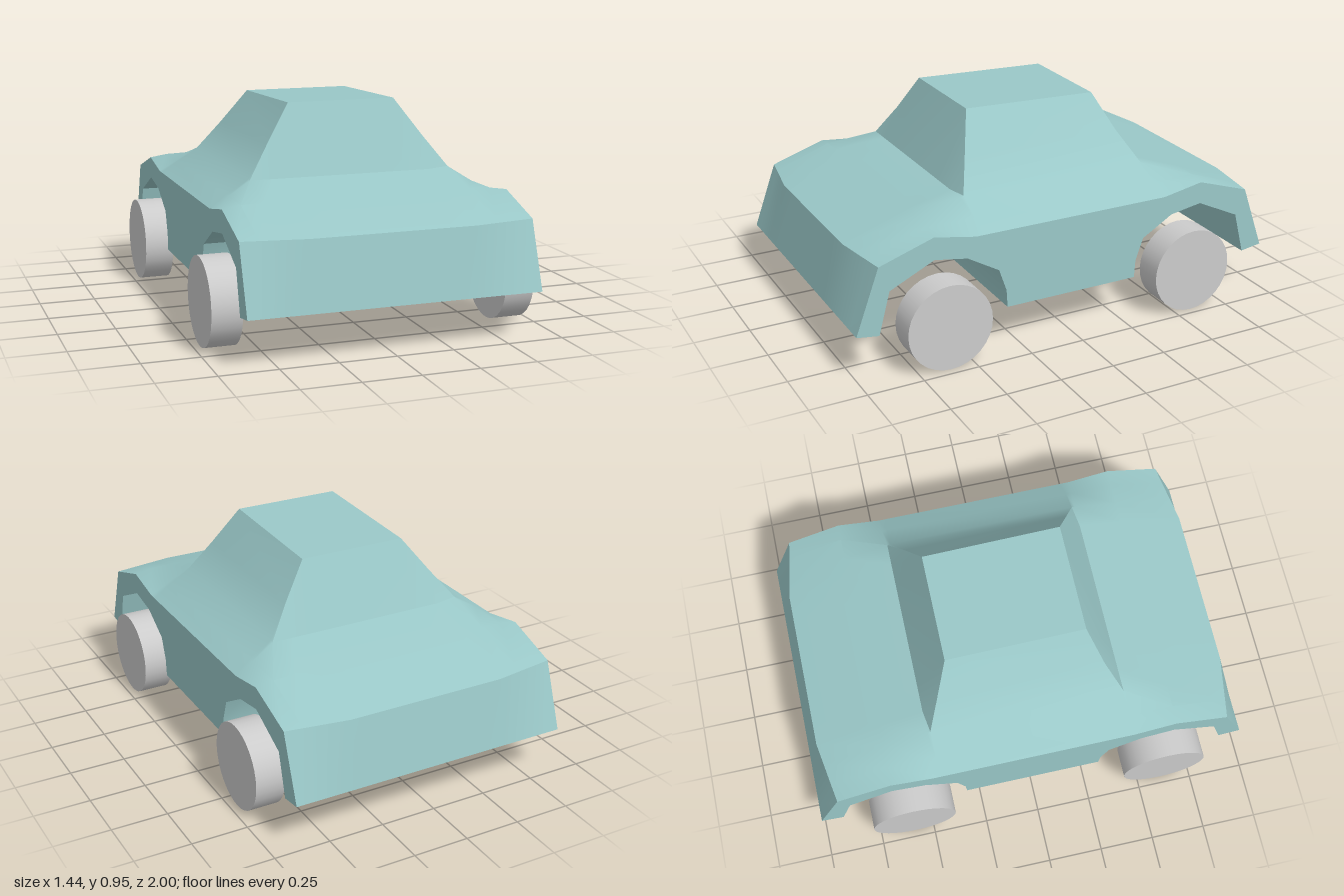
import * as THREE from 'three';
import { toCreasedNormals } from 'three/addons/utils/BufferGeometryUtils.js';

const BODY_X = 0.01; // body centre line

// Half columns from roof edge to flank: x offset, then [z, y] from bumper to roof
const columns = [
  { x: 0.245, top: [[1, 0.21], [0.94, 0.5], [0.65, 0.595], [0.445, 0.65], [0.31, 0.955]] },
  { x: 0.36, top: [[1, 0.21], [0.94, 0.5], [0.65, 0.595], [0.445, 0.65], [0.374, 0.79]] },
  { x: 0.46, top: [[1, 0.21], [0.924, 0.5], [0.65, 0.595], [0.445, 0.65], [0.43, 0.655]] },
  { x: 0.56, top: [[1, 0.21], [0.908, 0.5], [0.65, 0.592], [0.455, 0.59], [0.43, 0.593]] },
  { x: 0.64, top: [[1, 0.21], [0.895, 0.5], [0.65, 0.58], [0.46, 0.545], [0.42, 0.545]] },
];

// Underside with the wheel arch, from sill to bumper
const arch = [[0.315, 0.19], [0.32, 0.27], [0.355, 0.37], [0.5, 0.455], [0.65, 0.48], [0.85, 0.385], [0.9, 0.195]];

// Closed side outline of one column: front, over the roof, back, underneath
function ring(top) {
  const back = top.map(([z, y]) => [-z, y > 0.7 ? y - (y - 0.65) * 0.065 : y]).reverse();
  const archBack = arch.map(([z, y]) => [-z, y]).reverse();
  return [...top, ...back, ...archBack, ...arch];
}

function bodyGeometry() {
  const left = columns.map((c) => ({ x: BODY_X + c.x, pts: ring(c.top) }));
  const right = columns.map((c) => ({ x: BODY_X - c.x, pts: ring(c.top) })).reverse();
  const cols = [...right, ...left];
  const n = cols[0].pts.length;
  const pos = [];
  const index = [];
  for (const c of cols) for (const [z, y] of c.pts) pos.push(c.x, y, z);
  // Skin between neighbouring columns
  for (let i = 0; i < cols.length - 1; i++) {
    for (let j = 0; j < n; j++) {
      const k = (j + 1) % n;
      const a = i * n + j, b = a + n, c = (i + 1) * n + k, d = i * n + k;
      index.push(a, b, c, a, c, d);
    }
  }
  // Flat flanks
  const outline = cols[0].pts.map(([z, y]) => new THREE.Vector2(z, y));
  const last = (cols.length - 1) * n;
  for (const [a, b, c] of THREE.ShapeUtils.triangulateShape(outline, [])) {
    index.push(a, b, c, last + a, last + c, last + b);
  }
  const geo = new THREE.BufferGeometry();
  geo.setAttribute('position', new THREE.Float32BufferAttribute(pos, 3));
  geo.setIndex(index);
  return toCreasedNormals(geo, 0.6);
}

export function createModel() {
  const car = new THREE.Group();
  car.name = 'car';

  const paint = new THREE.MeshStandardMaterial({ color: 0x9ac8c8 });
  const grey = new THREE.MeshStandardMaterial({ color: 0xcccccc });

  const body = new THREE.Mesh(bodyGeometry(), paint);
  body.name = 'body';
  car.add(body);

  // Wheels
  const wheelGeo = new THREE.CylinderGeometry(0.192, 0.192, 0.132, 32).rotateZ(Math.PI / 2);
  for (const [end, z] of [['front', 0.61], ['rear', -0.58]]) {
    for (const [side, x] of [['Left', 0.65], ['Right', -0.654]]) {
      const wheel = new THREE.Mesh(wheelGeo, grey);
      wheel.name = `${end}${side}Wheel`;
      wheel.position.set(x, 0.192, z);
      car.add(wheel);
    }
  }
  return car;
}
